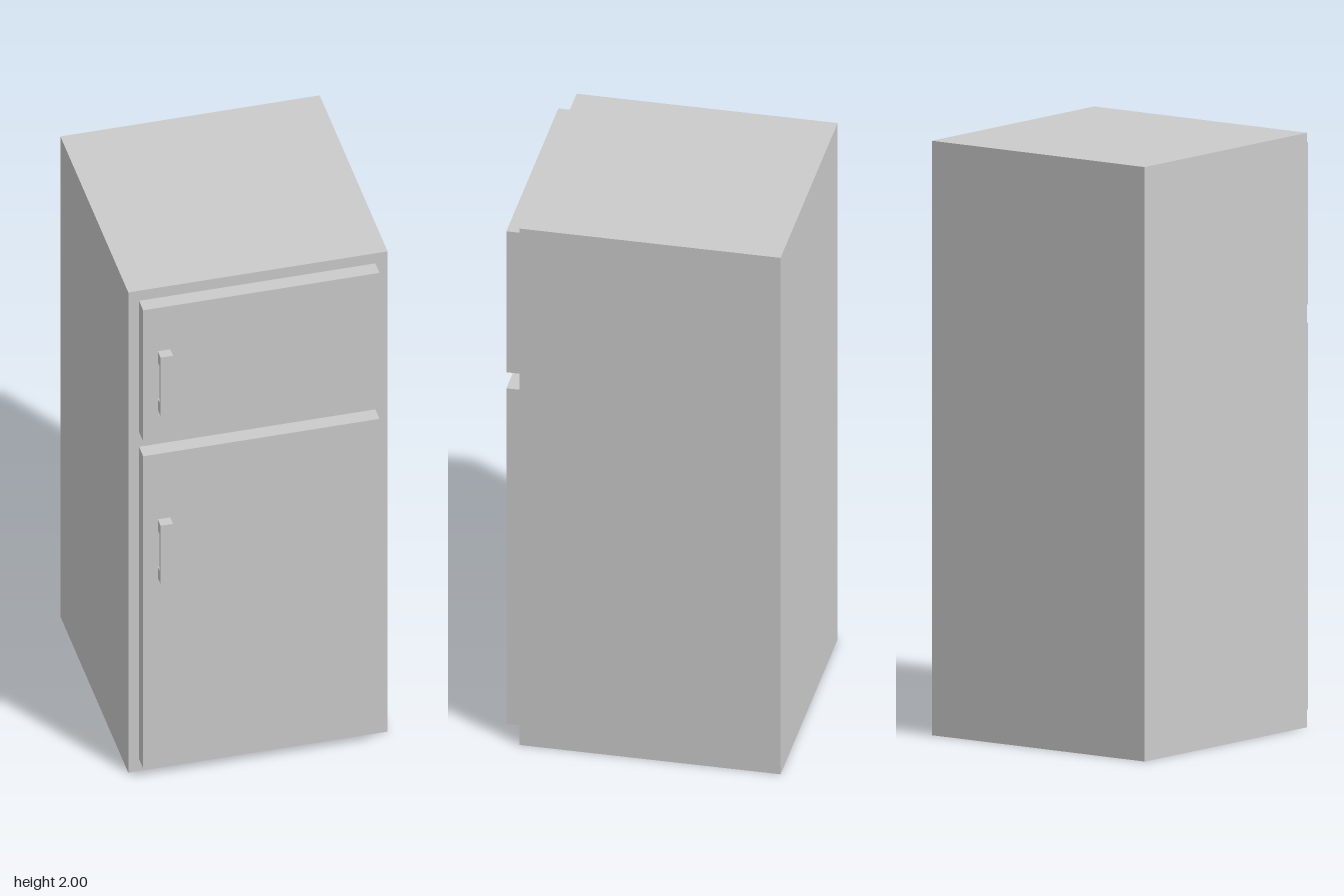
import * as THREE from 'three';

const material = new THREE.MeshStandardMaterial({ color: 0xcccccc, flatShading: true });

// Box given by its min and max corners
function box(name, [x0, y0, z0], [x1, y1, z1]) {
  const mesh = new THREE.Mesh(new THREE.BoxGeometry(x1 - x0, y1 - y0, z1 - z0), material);
  mesh.position.set((x0 + x1) / 2, (y0 + y1) / 2, (z0 + z1) / 2);
  mesh.name = name;
  return mesh;
}

// C-shaped pull handle: side profile (z, y) extruded across its width
function handle(name, x0, x1, yBottom, height, zDoor) {
  const depth = 0.037, grip = 0.012, foot = 0.045;
  const shape = new THREE.Shape([
    [0, 0], [depth, 0], [depth, height], [0, height],
    [0, height - foot], [depth - grip, height - foot], [depth - grip, foot], [0, foot],
  ].map(([z, y]) => new THREE.Vector2(z, y)));
  const geometry = new THREE.ExtrudeGeometry(shape, { depth: x1 - x0, bevelEnabled: false });
  geometry.rotateY(-Math.PI / 2); // profile x -> +z, extrusion -> -x
  const mesh = new THREE.Mesh(geometry, material);
  mesh.position.set(x1, yBottom, zDoor);
  mesh.name = name;
  return mesh;
}

export function createModel() {
  const model = new THREE.Group();
  model.name = 'refrigerator';
  const zBody = 0.398, zDoor = 0.452;

  // Cabinet
  model.add(box('cabinet', [-0.445, 0, -0.489], [0.445, 2, zBody]));

  // Doors, each with its handle
  const doors = [
    { name: 'freezer', bottom: 1.412, top: 1.958, handleY: 1.535 },
    { name: 'fridge', bottom: 0.05, top: 1.35, handleY: 0.835 },
  ];
  for (const { name, bottom, top, handleY } of doors) {
    model.add(box(name + 'Door', [-0.408, bottom, zBody], [0.403, top, zDoor]));
    model.add(handle(name + 'Handle', -0.358, -0.315, handleY, 0.243, zDoor));
  }
  return model;
}
